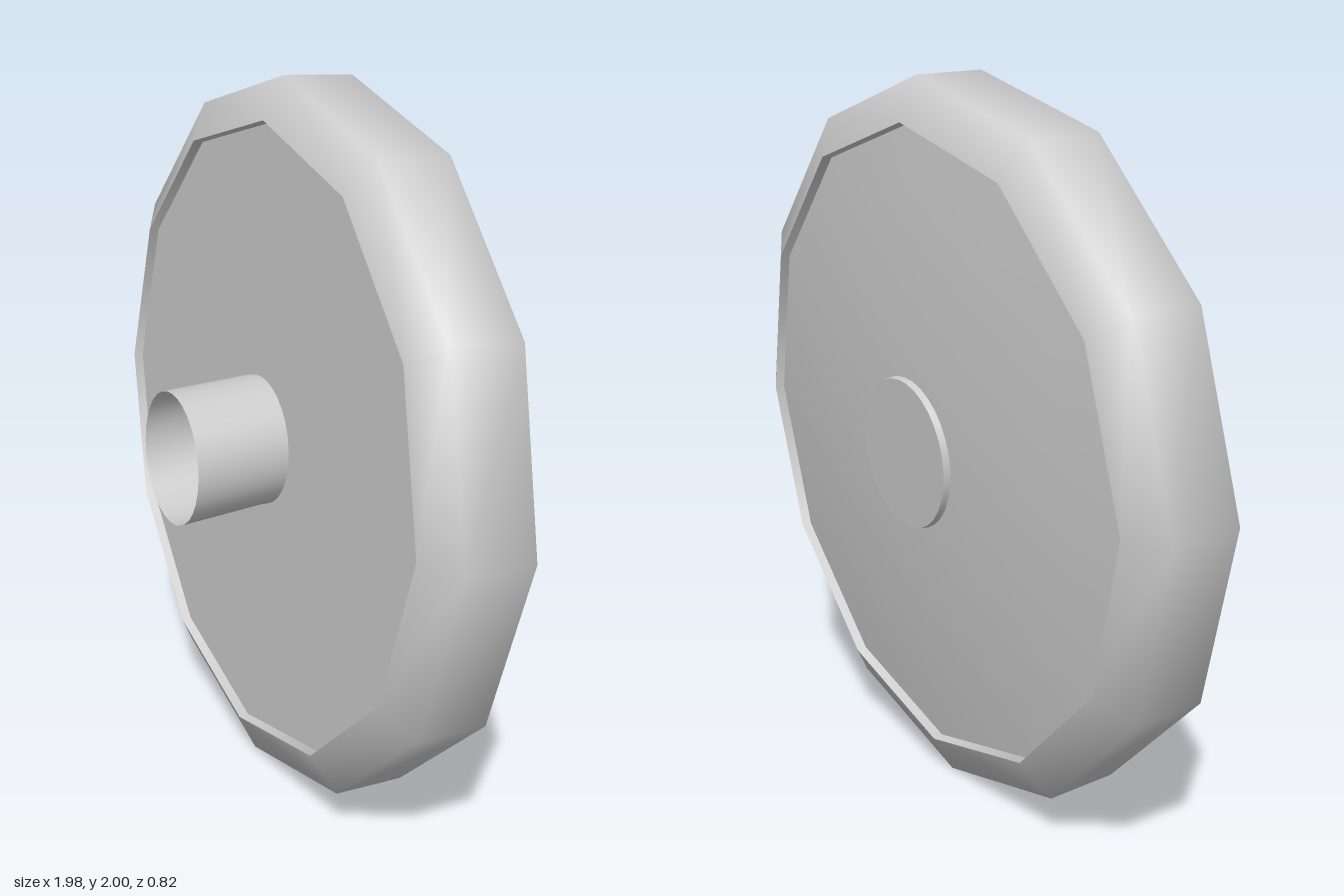
import * as THREE from 'three';

const material = new THREE.MeshStandardMaterial({ color: 0xcccccc, side: THREE.DoubleSide });

// Profile of [radius, depth] turned around the wheel's axle, which runs along z.
function turned(name, profile, sides) {
  const points = profile.map(([r, h]) => new THREE.Vector2(r, h));
  const geometry = new THREE.LatheGeometry(points, sides).rotateX(Math.PI / 2);
  const mesh = new THREE.Mesh(geometry, material);
  mesh.name = name;
  return mesh;
}

export function createModel() {
  const model = new THREE.Group();
  model.name = 'wheel';
  const sides = 12;

  // Tyre: flat tread with bevelled shoulders
  model.add(turned('tyre', [[0.88, -0.157], [0.995, -0.1], [0.995, 0.1], [0.88, 0.157]], sides));

  // Short lips stepping in from the shoulders to the recessed discs
  model.add(turned('backLip', [[0.875, -0.13], [0.88, -0.157]], sides));
  model.add(turned('frontLip', [[0.88, 0.157], [0.875, 0.13]], sides));

  // Flat front disc and gently domed back disc
  model.add(turned('frontDisc', [[0.875, 0.13], [0, 0.13]], sides));
  const dome = [];
  for (let i = 0; i <= 6; i++) {
    const t = i / 6;
    dome.push([0.875 * t, -0.19 + 0.06 * t * t]);
  }
  model.add(turned('backDisc', dome, sides));

  // Hub cap on the back
  model.add(turned('hubCapFace', [[0, -0.205], [0.208, -0.205]], 32));
  model.add(turned('hubCapEdge', [[0.208, -0.205], [0.213, -0.175]], 32));

  // Open axle tube, leaning sideways as it leaves the disc
  const axle = turned('axleTube', [[0.182, 0.1], [0.182, 0.15], [0.182, 0.2], [0.182, 0.26], [0.182, 0.422]], 32);
  const position = axle.geometry.attributes.position;
  for (let i = 0; i < position.count; i++) {
    const lean = Math.max(0, position.getZ(i) - 0.15) * 0.225;
    position.setX(i, position.getX(i) + lean);
  }
  axle.geometry.computeBoundingSphere();
  model.add(axle);

  // The wheel is turned to its right and leans back slightly
  model.rotation.set(-0.05, -0.23, 0, 'YXZ');
  model.position.set(0, 1, -0.06);

  const root = new THREE.Group();
  root.name = 'model';
  root.add(model);
  return root;
}
